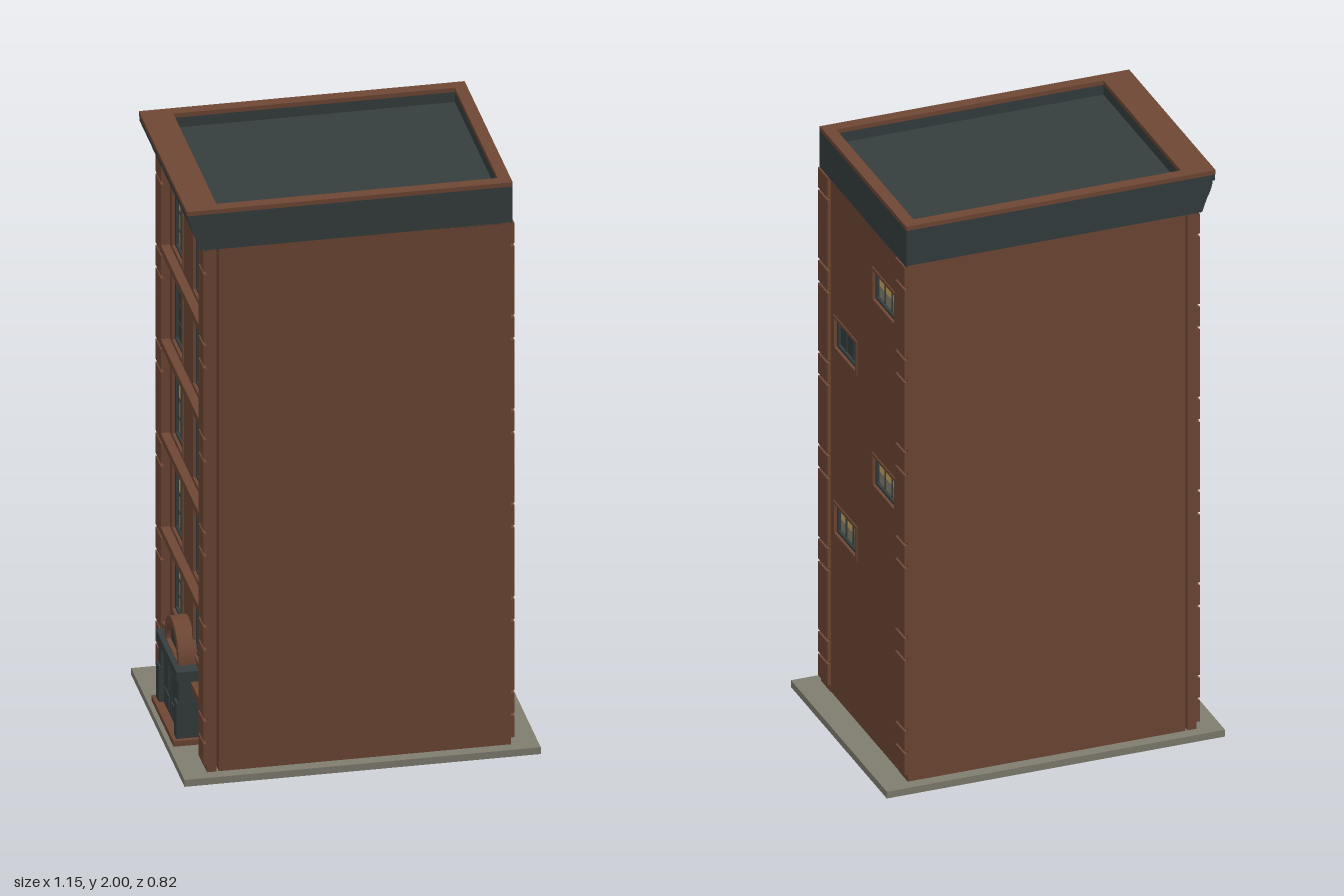
import * as THREE from 'three';

const mat = (name, color) => {
  const m = new THREE.MeshStandardMaterial({ color });
  m.name = name;
  return m;
};

export function createModel() {
  const brick = mat('brick', 0x6e4735);
  const slate = mat('slate', 0x353d3e);
  const stone = mat('stone', 0x807d70);
  const glow = mat('litGlass', 0xcdab60);
  const dusk = mat('greyGlass', 0x86826f);
  const root = new THREE.Group();
  root.name = 'townhouse';

  const add = (parent, name, geo, material) => {
    const m = new THREE.Mesh(geo, material);
    m.name = name;
    parent.add(m);
    return m;
  };
  // box given by its min and max corners
  const box = (parent, name, material, x0, x1, y0, y1, z0, z1) => {
    const m = add(parent, name, new THREE.BoxGeometry(x1 - x0, y1 - y0, z1 - z0), material);
    m.position.set((x0 + x1) / 2, (y0 + y1) / 2, (z0 + z1) / 2);
    return m;
  };
  // rectangle, optionally with a round top, grown by g on every side
  const outline = (Kind, u, y, w, h, arch, g = 0) => {
    const s = new Kind(), r = w / 2 + g;
    s.moveTo(u - r, y - g);
    s.lineTo(u + r, y - g);
    if (arch) s.absarc(u, y + h - w / 2, r, 0, Math.PI, false);
    else { s.lineTo(u + r, y + h + g); s.lineTo(u - r, y + h + g); }
    s.closePath();
    return s;
  };
  const slab = (parent, name, material, shape, z0, z1) => {
    const geo = new THREE.ExtrudeGeometry(shape, { depth: z1 - z0, bevelEnabled: false, curveSegments: 12 });
    geo.translate(0, 0, z0);
    return add(parent, name, geo, material);
  };
  const ring = (parent, name, material, w, gOut, gIn, z0, z1) => {
    const s = outline(THREE.Shape, w.u, w.y, w.w, w.h, w.arch, gOut);
    s.holes.push(outline(THREE.Path, w.u, w.y, w.w, w.h, w.arch, gIn));
    slab(parent, name, material, s, z0, z1);
  };

  // glazed window set into a wall whose face lies at z = p
  const addWindow = (parent, w, p) => {
    const g = new THREE.Group();
    g.name = 'window';
    parent.add(g);
    const back = p - 0.019, front = p - 0.013, mid = w.y + w.h * 0.48;
    slab(g, 'upperGlass', w.lit ? glow : slate,
      outline(THREE.Shape, w.u, mid, w.w, w.y + w.h - mid, w.arch), back, back + 0.003);
    slab(g, 'lowerGlass', w.lit ? dusk : slate,
      outline(THREE.Shape, w.u, w.y, w.w, mid - w.y, false), back, back + 0.003);
    ring(g, 'frame', slate, w, 0, -0.009, back, p - 0.006);
    for (let i = 1; i < w.cols; i++) {
      const u = w.u - w.w / 2 + (w.w * i) / w.cols;
      box(g, 'mullion', slate, u - 0.004, u + 0.004, w.y, w.y + w.h - (w.arch ? 0.015 : 0), back, front);
    }
    for (let i = 1; i < w.rows; i++) {
      const y = w.y + (w.h * i) / w.rows;
      box(g, 'glazingBar', slate, w.u - w.w / 2, w.u + w.w / 2, y - 0.003, y + 0.003, back, front);
    }
    ring(g, 'surround', brick, w, 0.011, 0, p - 0.01, p + 0.004);
  };

  // wall between the corner piers, with openings; local +z points outward
  const addWall = (name, turn, p, windows) => {
    const g = new THREE.Group();
    g.name = name;
    g.rotation.y = turn;
    root.add(g);
    const s = outline(THREE.Shape, 0, 0.025, 0.6, 1.835, false);
    windows.forEach(w => s.holes.push(outline(THREE.Path, w.u, w.y, w.w, w.h, w.arch)));
    slab(g, 'wallFace', brick, s, p - 0.02, p);
    windows.forEach(w => addWindow(g, w, p));
    return g;
  };

  // corner pier blocks, tall and short courses with open joints
  const addPiers = (parent, core, face) => {
    const cuts = [0.045, 0.13];
    for (let i = 0; i < 6; i++) cuts.push(0.21 + i * 0.33, 0.46 + i * 0.33);
    const levels = cuts.filter(y => y < 1.87);
    for (const side of [-1, 1]) {
      const a = side < 0 ? -0.37 : 0.29;
      box(parent, 'pierCore', brick, a, a + 0.08, 0.025, 1.86, core - 0.03, core);
      levels.forEach((y, i) => {
        const top = i + 1 < levels.length ? levels[i + 1] : 1.86;
        if (top - y > 0.02) box(parent, 'pierBlock', brick, a, a + 0.08, y + 0.005, top - 0.005, core, face);
      });
    }
  };

  // base slab with footing strips beneath
  box(root, 'baseSlab', stone, -0.574, 0.574, 0.002, 0.026, -0.41, 0.41);
  for (const s of [-1, 1]) box(root, 'footing', brick, -0.48, 0.45, 0, 0.01, s * 0.3 - 0.016, s * 0.3 + 0.016);

  // main block
  box(root, 'mainBlock', brick, -0.455, 0.465, 0.025, 1.86, -0.37, 0.37);

  // rear wall with staggered windows
  const rearWins = [1.65, 1.32, 0.99, 0.66].map((y, i) => ({
    u: i % 2 ? -0.165 : 0.165, y: y - 0.05, w: 0.18, h: 0.1, cols: 3, rows: 1, lit: i !== 1,
  }));
  addPiers(addWall('rearWall', Math.PI / 2, 0.485, rearWins), 0.487, 0.498);

  // street wall: two columns of windows, the top pair arched
  const streetWins = [];
  const lit = [[1, 1], [1, 0], [1, 1], [0, 1], [1, 0]];
  lit.forEach((row, i) => row.forEach((on, j) => streetWins.push({
    u: j ? 0.16 : -0.16, y: i ? 0.265 + i * 0.33 : 0.31, w: 0.15, h: i ? 0.255 : 0.22,
    cols: 3, rows: 4, arch: i === 4, lit: !!on,
  })));
  for (const s of [-1, 1]) streetWins.push({ u: s * 0.225, y: 0.06, w: 0.09, h: 0.14, cols: 2, rows: 2, lit: false });
  const street = addWall('streetWall', -Math.PI / 2, 0.475, streetWins);
  addPiers(street, 0.493, 0.504);
  for (let i = 0; i < 4; i++) {
    const y = 0.56 + i * 0.33;
    box(street, 'sillBand', brick, -0.29, 0.29, y - 0.012, y + 0.012, 0.47, 0.504);
    box(street, 'sillBandFoot', brick, -0.29, 0.29, y - 0.024, y - 0.012, 0.47, 0.49);
  }
  box(street, 'groundBand', brick, -0.29, 0.29, 0.215, 0.24, 0.47, 0.5);

  // entrance portal
  const portal = new THREE.Group();
  portal.name = 'entrance';
  street.add(portal);
  box(portal, 'doorStep', brick, -0.17, 0.17, 0.025, 0.045, 0.47, 0.559);
  box(portal, 'portalBack', slate, -0.14, 0.14, 0.045, 0.26, 0.47, 0.525);
  for (const s of [-1, 1]) {
    box(portal, 'portalPost', slate, s * 0.135 - 0.018, s * 0.135 + 0.018, 0.045, 0.26, 0.47, 0.54);
    box(portal, 'portalPostFoot', slate, s * 0.135 - 0.02, s * 0.135 + 0.02, 0.045, 0.17, 0.47, 0.547);
    box(portal, 'doorLeaf', slate, s * 0.056 - 0.052, s * 0.056 + 0.052, 0.045, 0.235, 0.52, 0.531);
    for (const [y0, y1] of [[0.06, 0.11], [0.125, 0.22]])
      box(portal, 'doorPanel', slate, s * 0.056 - 0.034, s * 0.056 + 0.034, y0, y1, 0.53, 0.535);
  }
  box(portal, 'portalLintel', slate, -0.16, 0.16, 0.25, 0.28, 0.47, 0.547);
  const fan = (r) => {
    const s = new THREE.Shape();
    s.moveTo(r, 0.28);
    s.absarc(0, 0.28, r, 0, Math.PI, false);
    s.closePath();
    return s;
  };
  const arch = fan(0.112);
  const hole = new THREE.Path();
  hole.moveTo(0.085, 0.283);
  hole.absarc(0, 0.283, 0.082, 0, Math.PI, false);
  hole.closePath();
  arch.holes.push(hole);
  slab(portal, 'portalArch', brick, arch, 0.47, 0.53);
  slab(portal, 'fanlight', slate, fan(0.1), 0.47, 0.515);

  // parapet, roof and coping
  const frame = (name, material, x0, y0, y1) => {
    const s = new THREE.Shape();
    s.moveTo(x0, -0.37); s.lineTo(0.492, -0.37); s.lineTo(0.492, 0.37); s.lineTo(x0, 0.37); s.closePath();
    const h = new THREE.Path();
    h.moveTo(-0.455, -0.33); h.lineTo(0.452, -0.33); h.lineTo(0.452, 0.33); h.lineTo(-0.455, 0.33); h.closePath();
    s.holes.push(h);
    const m = slab(root, name, material, s, y0, y1);
    m.geometry.rotateX(-Math.PI / 2);
  };
  frame('parapet', slate, -0.5, 1.855, 1.985);
  frame('coping', brick, -0.558, 1.985, 2);
  box(root, 'roof', slate, -0.46, 0.46, 1.855, 1.95, -0.335, 0.335);

  // cornice shelf and its row of brackets on the street side
  box(root, 'corniceShelf', slate, -0.555, -0.49, 1.965, 1.985, -0.37, 0.37);
  const profile = new THREE.Shape();
  profile.moveTo(-0.495, 1.86);
  profile.lineTo(-0.495, 1.966);
  profile.lineTo(-0.548, 1.966);
  profile.quadraticCurveTo(-0.545, 1.935, -0.53, 1.91);
  profile.lineTo(-0.512, 1.86);
  profile.closePath();
  const count = 15;
  for (let i = 0; i < count; i++) {
    const z = -0.37 + (0.715 * i) / (count - 1);
    slab(root, 'corniceBracket', slate, profile, z, z + 0.025);
  }
  return root;
}
